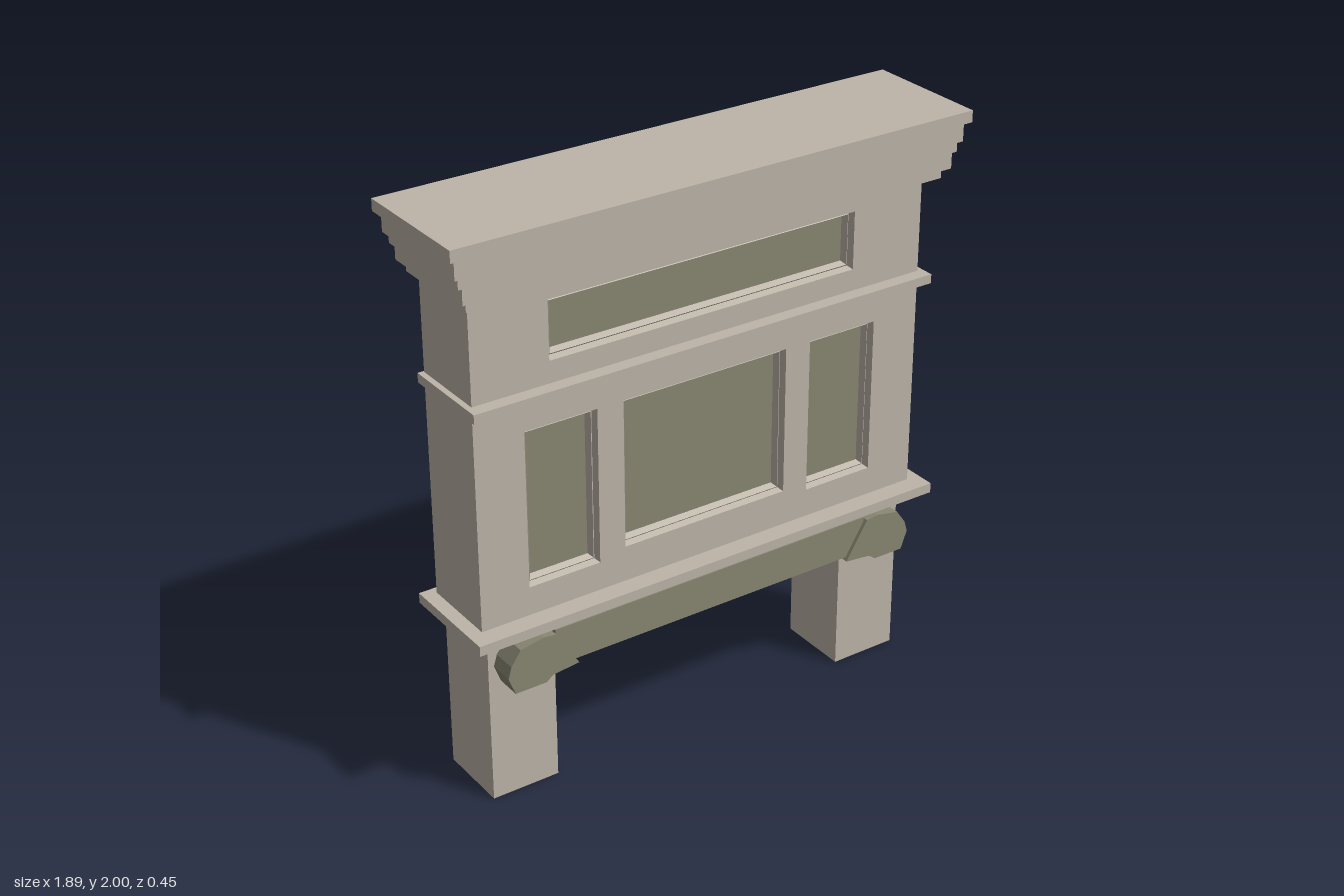
import * as THREE from 'three';

const stone = new THREE.MeshStandardMaterial({ color: 0xbdb5a8 });
stone.name = 'warm stone';
const olive = new THREE.MeshStandardMaterial({ color: 0x888773 });
olive.name = 'olive panel';

const FRONT = 0.12, BACK = -0.16;

// Panel openings: x0, x1, y0, y1
const openings = {
  upperPanel: [-0.57, 0.57, 1.51, 1.71],
  centrePanel: [-0.31, 0.31, 0.78, 1.3],
  rightPanel: [-0.665, -0.405, 0.755, 1.3],
  leftPanel: [0.405, 0.665, 0.755, 1.3],
};

const corners = ([x0, x1, y0, y1], inset = 0) => [
  [x0 + inset, y0 + inset], [x1 - inset, y0 + inset],
  [x1 - inset, y1 - inset], [x0 + inset, y1 - inset],
];

function addMesh(parent, name, geometry, material) {
  const mesh = new THREE.Mesh(geometry, material);
  mesh.name = name;
  parent.add(mesh);
  return mesh;
}

// Box given by its limits on each axis
function addBox(parent, name, material, x0, x1, y0, y1, z0, z1) {
  const geometry = new THREE.BoxGeometry(x1 - x0, y1 - y0, z1 - z0);
  geometry.translate((x0 + x1) / 2, (y0 + y1) / 2, (z0 + z1) / 2);
  return addMesh(parent, name, geometry, material);
}

function extrude(shape, z0, z1) {
  const geometry = new THREE.ExtrudeGeometry(shape, { depth: z1 - z0, bevelEnabled: false });
  return geometry.translate(0, 0, z0);
}

const polygon = (points) => new THREE.Shape(points.map(([x, y]) => new THREE.Vector2(x, y)));

// Mitred moulding that steps inward and back around an opening
function mouldingGeometry(rect) {
  const profile = [[0, FRONT], [0.008, 0.098], [0.013, 0.102], [0.024, 0.08]];
  const positions = [];
  for (let p = 0; p < profile.length - 1; p++) {
    const [i0, z0] = profile[p], [i1, z1] = profile[p + 1];
    const outer = corners(rect, i0), inner = corners(rect, i1);
    for (let k = 0; k < 4; k++) {
      const n = (k + 1) % 4;
      const a = [...outer[k], z0], b = [...outer[n], z0];
      const c = [...inner[n], z1], d = [...inner[k], z1];
      positions.push(...a, ...b, ...c, ...a, ...c, ...d);
    }
  }
  const geometry = new THREE.BufferGeometry();
  geometry.setAttribute('position', new THREE.Float32BufferAttribute(positions, 3));
  geometry.computeVertexNormals();
  return geometry;
}

export function createModel() {
  const model = new THREE.Group();
  model.name = 'panelledMantel';

  // Main wall with panel openings
  const wall = polygon(corners([-0.84, 0.84, 0.64, 1.79]));
  for (const rect of Object.values(openings)) {
    wall.holes.push(new THREE.Path(corners(rect).reverse().map(([x, y]) => new THREE.Vector2(x, y))));
  }
  addMesh(model, 'wall', extrude(wall, BACK, FRONT), stone);

  // Recessed panels, flush at the back, with mouldings in front
  for (const [name, rect] of Object.entries(openings)) {
    addBox(model, name, olive, ...rect, BACK, 0.082);
    addMesh(model, name + 'Moulding', mouldingGeometry(rect), stone);
  }

  // Ledge, middle band and stepped cornice: half width, y0, y1, z0, z1
  addBox(model, 'ledge', stone, -0.888, 0.888, 0.62, 0.655, -0.188, 0.188);
  addBox(model, 'middleBand', stone, -0.86, 0.86, 1.403, 1.435, -0.165, 0.167);
  const cornice = new THREE.Group();
  cornice.name = 'cornice';
  model.add(cornice);
  [
    [0.873, 1.77, 1.805, 0.173],
    [0.895, 1.805, 1.86, 0.195],
    [0.91, 1.86, 1.895, 0.2],
    [0.925, 1.895, 1.96, 0.21],
    [0.945, 1.96, 2, 0.226],
  ].forEach(([w, y0, y1, d], i) => addBox(cornice, 'corniceStep' + (i + 1), stone, -w, w, y0, y1, -d, d));

  // Beam between the legs
  addBox(model, 'beam', olive, -0.61, 0.61, 0.475, 0.607, -0.13, 0.175);

  // Legs and carved beam ends, mirrored
  const endOutline = [
    [0.533, 0.466], [0.63, 0.456], [0.655, 0.437], [0.768, 0.437], [0.792, 0.5],
    [0.78, 0.54], [0.745, 0.59], [0.66, 0.606], [0.615, 0.6],
  ];
  for (const side of [1, -1]) {
    const label = side > 0 ? 'left' : 'right';
    const inner = side * 0.57, outer = side * 0.813;
    addBox(model, label + 'Leg', stone, Math.min(inner, outer), Math.max(inner, outer), 0, 0.63, BACK, 0.1);
    const outline = endOutline.map(([x, y]) => [side * x, y]);
    addMesh(model, label + 'BeamEnd', extrude(polygon(outline), 0.09, 0.188), olive);
  }
  return model;
}
